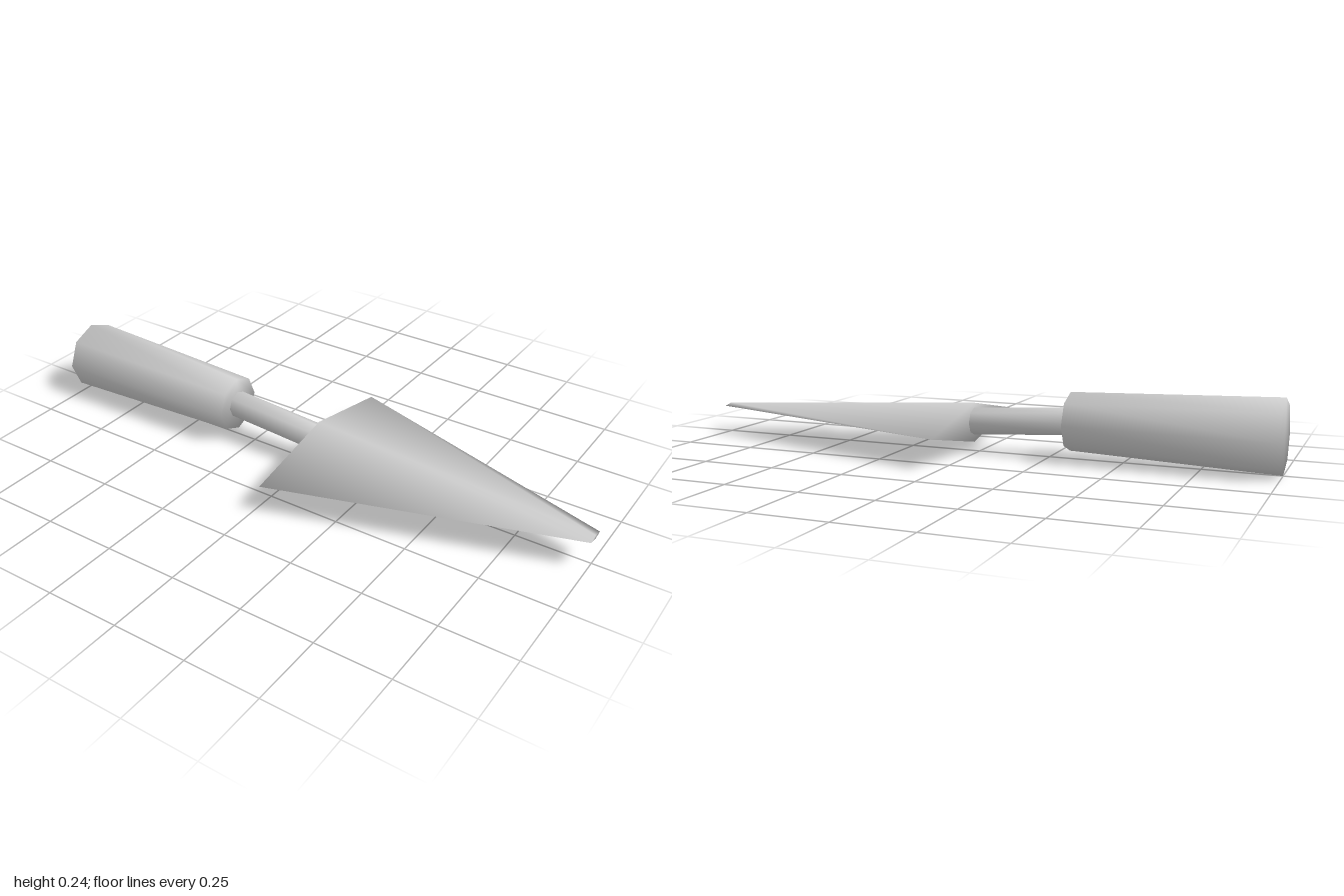
import * as THREE from 'three';

// Closed loft along x; sections are [x, centreY, radiusY, radiusZ].
// Corners are shared, so the shading runs smoothly over every edge.
function loft(sections, sides) {
  const positions = [];
  const index = [];
  for (const [x, y, ry, rz] of sections) {
    for (let k = 0; k < sides; k++) {
      const a = (k / sides) * Math.PI * 2;
      positions.push(x, y + ry * Math.cos(a), rz * Math.sin(a));
    }
  }
  const last = (sections.length - 1) * sides;
  for (let i = 0; i < last; i += sides) {
    for (let k = 0; k < sides; k++) {
      const n = (k + 1) % sides;
      const a = i + k, b = i + n, c = b + sides, d = a + sides;
      index.push(a, b, c, a, c, d);
    }
  }
  // End caps
  for (let k = 1; k < sides - 1; k++) {
    index.push(0, k + 1, k);
    index.push(last, last + k, last + k + 1);
  }
  const geometry = new THREE.BufferGeometry();
  geometry.setAttribute('position', new THREE.Float32BufferAttribute(positions, 3));
  geometry.setIndex(index);
  geometry.computeVertexNormals();
  return geometry;
}

export function createModel() {
  const group = new THREE.Group();
  group.name = 'trowel';
  const grey = new THREE.MeshStandardMaterial({ color: 0xcccccc });
  grey.name = 'light grey';

  const add = (name, sections, sides) => {
    const mesh = new THREE.Mesh(loft(sections, sides), grey);
    mesh.name = name;
    group.add(mesh);
  };

  // Tapered octagonal grip
  add('handle', [[-1, 0.123, 0.121, 0.121], [-0.32, 0.125, 0.097, 0.097]], 8);
  // Thin neck sloping down to the blade
  add('shaft', [[-0.325, 0.126, 0.046, 0.046], [0.025, 0.103, 0.046, 0.046]], 8);
  // Diamond-section blade narrowing to a blunt tip
  add('blade', [[0.02, 0.099, 0.067, 0.34], [1, 0.1, 0.007, 0.034]], 4);

  return group;
}
